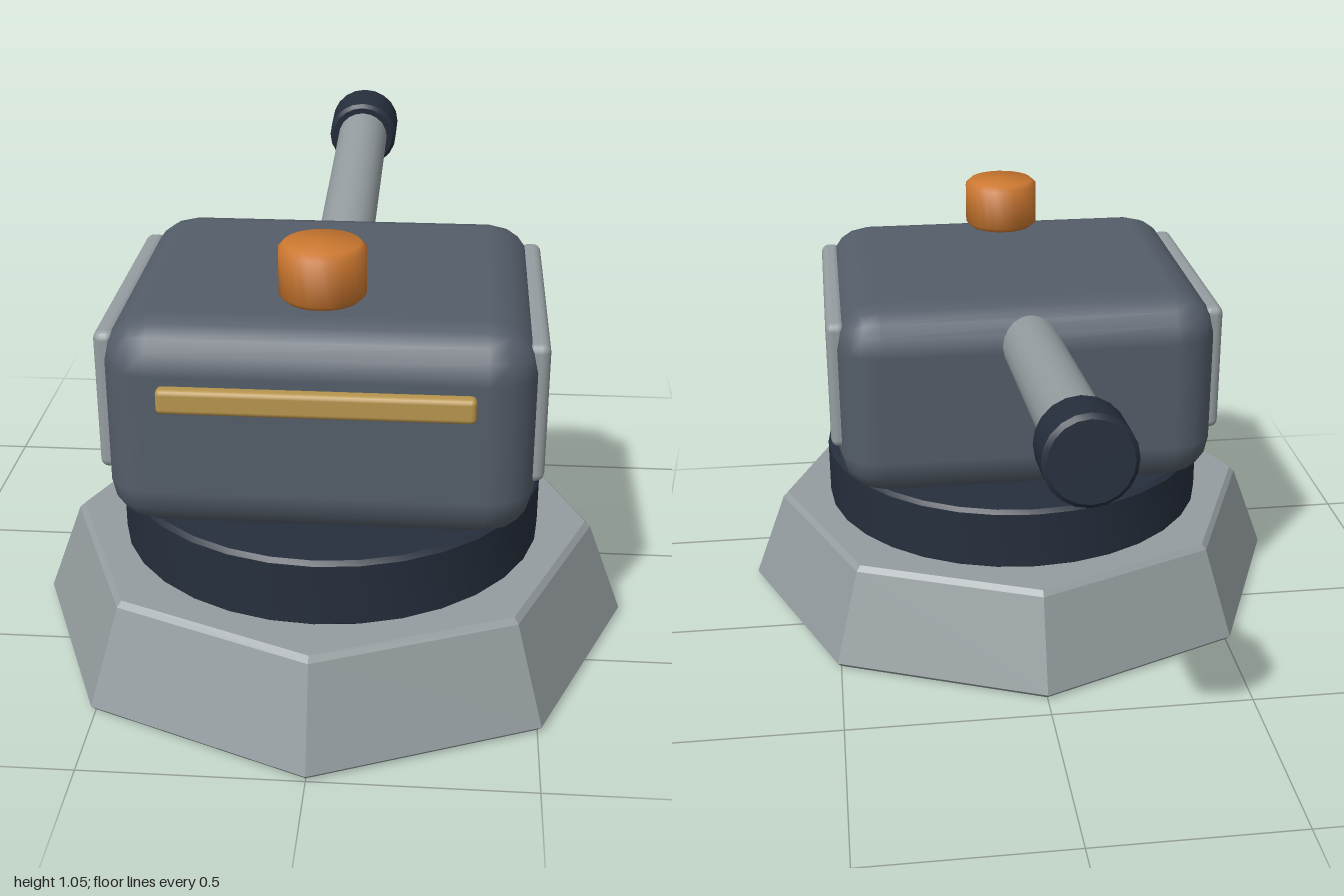
import * as THREE from 'three';
import { toCreasedNormals } from 'three/addons/utils/BufferGeometryUtils.js';
import { RoundedBoxGeometry } from 'three/addons/geometries/RoundedBoxGeometry.js';

function paint(name, color) {
  const m = new THREE.MeshStandardMaterial({ color });
  m.name = name;
  return m;
}

// Upright drum with bevelled rims, from y = 0 to y = height
function drum(bottom, top, height, bevel, sides, crease) {
  const profile = [
    [0, 0], [bottom - bevel, 0], [bottom, bevel],
    [top, height - bevel], [top - bevel, height], [0, height],
  ].map(([r, y]) => new THREE.Vector2(r, y));
  return toCreasedNormals(new THREE.LatheGeometry(profile, sides), crease);
}

export function createModel() {
  const model = new THREE.Group();
  model.name = 'turret';

  const grey = paint('light grey', 0x959da0);
  const slate = paint('slate', 0x545d69);
  const navy = paint('dark navy', 0x262f3d);
  const orange = paint('orange', 0xcc7830);
  const gold = paint('gold', 0xb8954e);

  function add(parent, name, geometry, material, x, y, z) {
    const mesh = new THREE.Mesh(geometry, material);
    mesh.name = name;
    mesh.position.set(x, y, z);
    parent.add(mesh);
    return mesh;
  }

  const midZ = 0.282;

  // Octagonal foot and turning ring
  add(model, 'base', drum(0.72, 0.635, 0.255, 0.013, 8, 0.3), grey, 0, 0, midZ);
  add(model, 'turningRing', drum(0.504, 0.504, 0.165, 0.01, 32, 0.6), navy, 0, 0.247, midZ);

  // Rounded housing with a plate on each side
  add(model, 'housing', new RoundedBoxGeometry(0.95, 0.497, 0.826, 2, 0.11), slate, 0, 0.6575, midZ);
  for (const side of [-1, 1]) {
    add(model, side > 0 ? 'leftPlate' : 'rightPlate',
      new RoundedBoxGeometry(0.05, 0.33, 0.66, 2, 0.02), grey, side * 0.47, 0.695, midZ);
  }

  // Sight strip on the front and hatch knob above the roof
  add(model, 'sightStrip', new RoundedBoxGeometry(0.68, 0.057, 0.035, 2, 0.012), gold, 0, 0.753, 0.712);
  add(model, 'hatchKnob', drum(0.096, 0.096, 0.126, 0.012, 24, 0.9), orange, 0, 0.924, 0.523);

  // Barrel, rising slightly towards the back, with a muzzle cap
  const barrel = new THREE.Group();
  barrel.name = 'barrelAssembly';
  barrel.position.set(0, 0.803, -0.05);
  barrel.rotation.x = -(Math.PI / 2 - 0.112);
  add(barrel, 'barrel', drum(0.071, 0.071, 0.9, 0.005, 20, 0.6), grey, 0, -0.04, 0);
  add(barrel, 'muzzle', drum(0.097, 0.097, 0.136, 0.01, 20, 0.6), navy, 0, 0.807, 0);
  model.add(barrel);

  return model;
}
